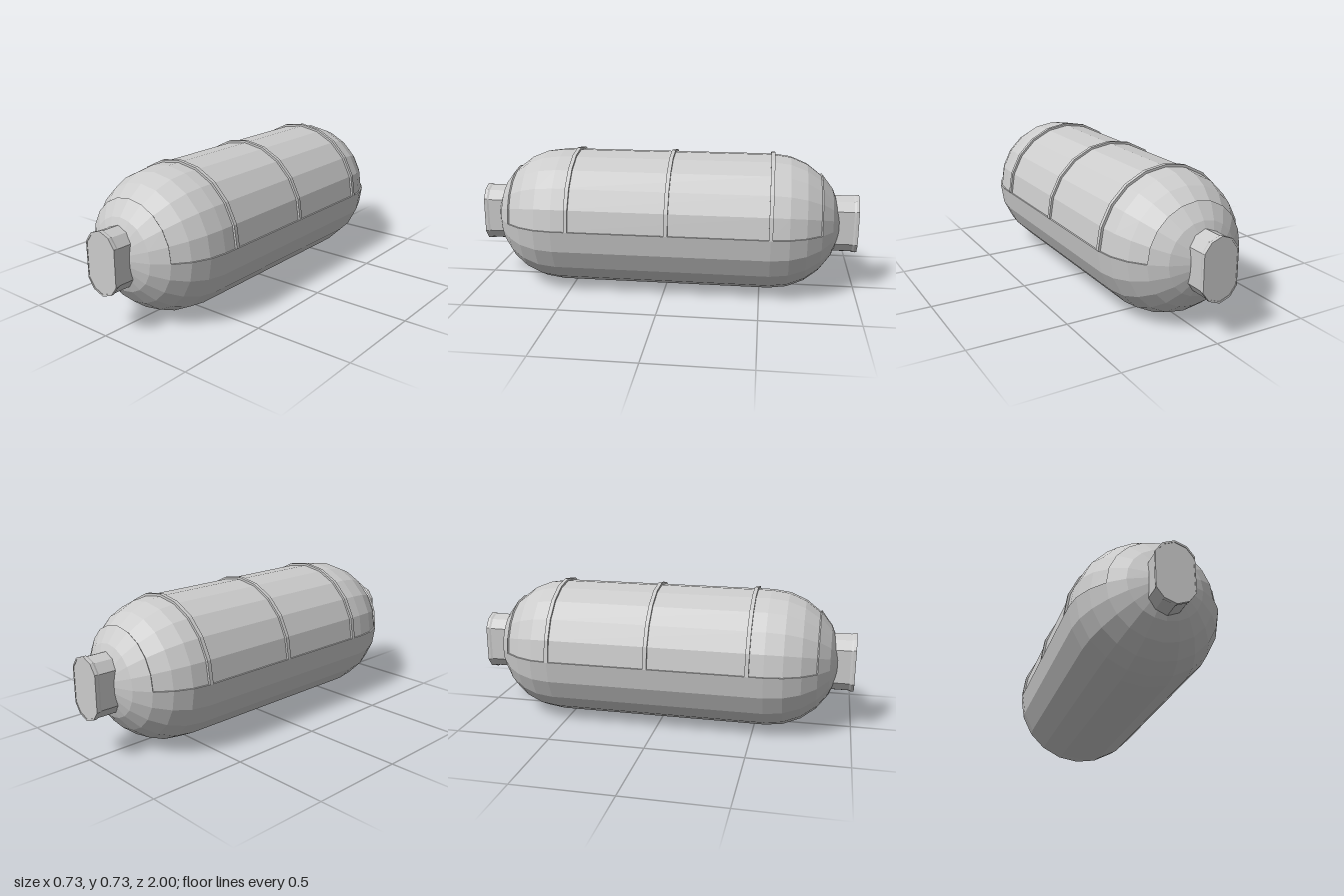
import * as THREE from 'three';

const CY = 0.365;      // height of the long axis
const R = 0.362;       // hull radius
const COVER = 0.354;   // upper cover radius
const FRONT = 0.56, BACK = -0.55; // centres of the round ends

const material = new THREE.MeshStandardMaterial({
  color: 0xcccccc, flatShading: true, side: THREE.DoubleSide,
});

function addMesh(group, name, geometry) {
  const mesh = new THREE.Mesh(geometry, material);
  mesh.name = name;
  group.add(mesh);
  return mesh;
}

// Half of a 20-sided revolve laid along z
function halfLathe(points, upper) {
  const g = new THREE.LatheGeometry(points, 10, upper ? Math.PI / 2 : -Math.PI / 2, Math.PI);
  return g.rotateX(Math.PI / 2).translate(0, CY, 0);
}

// Capsule profile from polar angle a to b (degrees), back end to front end
function profile(radius, a, b) {
  const pts = [];
  for (let d = a; d <= b; d += 15) {
    const t = THREE.MathUtils.degToRad(d);
    const z = -Math.cos(t) * radius;
    const r = Math.sin(t) * radius;
    if (d <= 90) pts.push(new THREE.Vector2(r, BACK + z));
    if (d >= 90) pts.push(new THREE.Vector2(r, FRONT + z));
  }
  return pts;
}

// Elongated ten-sided lug lofted through [z, scale] sections and closed at the tip
function lugGeometry() {
  const quarter = [[0.092, 0.09], [0.057, 0.137], [0, 0.158]];
  const outline = [
    ...quarter,
    ...quarter.slice(0, 2).reverse().map(([x, y]) => [-x, y]),
    ...quarter.slice(0, 2).map(([x, y]) => [-x, -y]),
    [0, -0.158],
    ...quarter.slice(0, 2).reverse().map(([x, y]) => [x, -y]),
  ];
  const sections = [[0.8, 0.97], [0.975, 0.97], [0.985, 1], [1, 1], [1, 0.94], [0.998, 0.94], [0.998, 0]];
  const n = outline.length;
  const pos = [], index = [];
  sections.forEach(([z, s], k) => {
    outline.forEach(([x, y], i) => {
      pos.push(x * s, y * s, z);
      if (k === 0) return;
      const j = (i + 1) % n;
      const a = (k - 1) * n + i, b = (k - 1) * n + j;
      const c = k * n + j, d = k * n + i;
      index.push(a, b, c, a, c, d);
    });
  });
  const g = new THREE.BufferGeometry();
  g.setAttribute('position', new THREE.Float32BufferAttribute(pos, 3));
  g.setIndex(index);
  g.computeVertexNormals();
  return g;
}

export function createModel() {
  const model = new THREE.Group();
  model.name = 'capsuleTank';

  // Lower hull and the narrow ledge on its rim
  const hull = profile(R, 0, 180);
  addMesh(model, 'lowerHull', halfLathe(hull, false));
  const rim = new THREE.Shape([
    ...hull,
    ...hull.slice(1, -1).reverse().map((p) => new THREE.Vector2(-p.x, p.y)),
  ]);
  addMesh(model, 'hullLedge', new THREE.ShapeGeometry(rim).rotateX(Math.PI / 2).translate(0, CY, 0));

  // Upper half: full-size noses with a slightly recessed cover between them
  const upper = [...profile(R, 0, 45), ...profile(COVER, 45, 135), ...profile(R, 135, 180)];
  addMesh(model, 'upperCover', halfLathe(upper, true));

  // Raised bands over the cover
  for (const z of [0.48, -0.03, -0.55]) {
    const band = [[0.345, -0.01], [0.365, -0.01], [0.365, 0.01], [0.345, 0.01]]
      .map(([r, dz]) => new THREE.Vector2(r, z + dz));
    addMesh(model, 'coverBand', halfLathe(band, true));
  }

  // End lugs
  for (const turn of [0, Math.PI]) {
    const lug = addMesh(model, turn ? 'backLug' : 'frontLug', lugGeometry());
    lug.position.y = 0.359;
    lug.rotation.y = turn;
  }
  return model;
}
